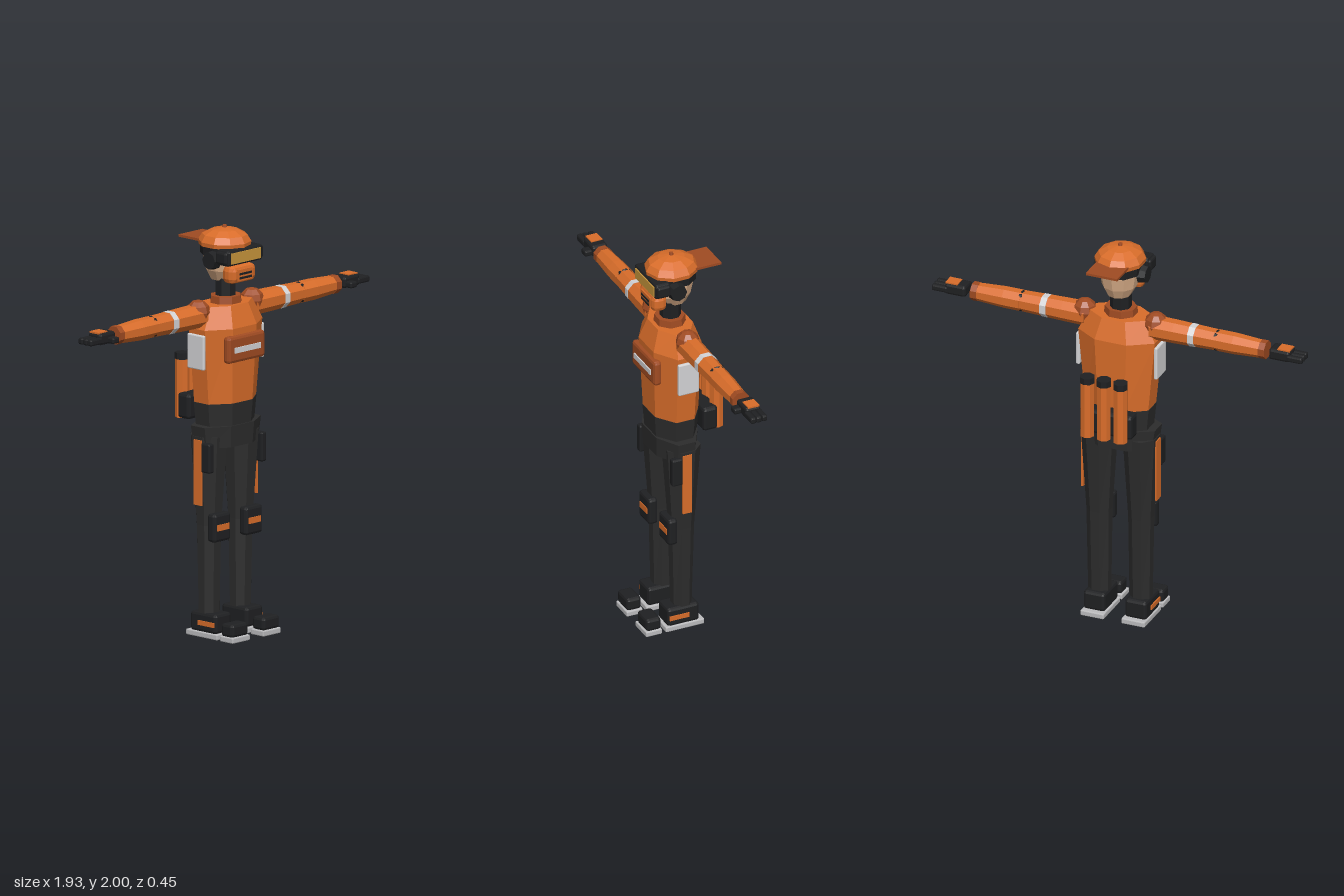
import * as THREE from 'three';
import { RoundedBoxGeometry } from 'three/addons/geometries/RoundedBoxGeometry.js';

const mat = (name, color) => {
  const m = new THREE.MeshStandardMaterial({ color, flatShading: true });
  m.name = name;
  return m;
};

export function createModel() {
  const orange = mat('orange', 0xd96d2a);
  const rust = mat('rust', 0xa04b22);
  const cloth = mat('charcoal cloth', 0x2c2c2c);
  const gear = mat('black gear', 0x1f2022);
  const white = mat('reflective white', 0xd4d4d6);
  const gold = mat('gold lens', 0xc8963c);
  const skin = mat('skin', 0xdcb08a);
  const sole = mat('grey sole', 0xbcbcbe);

  const root = new THREE.Group();
  const add = (name, geo, material, x = 0, y = 0, z = 0) => {
    const m = new THREE.Mesh(geo, material);
    m.name = name;
    m.position.set(x, y, z);
    root.add(m);
    return m;
  };
  // Plain and chamfered boxes given by their limits
  const box = (name, material, x0, x1, y0, y1, z0, z1, bevel = 0) => {
    const w = Math.abs(x1 - x0), h = y1 - y0, d = z1 - z0;
    const geo = bevel ? new RoundedBoxGeometry(w, h, d, 1, bevel) : new THREE.BoxGeometry(w, h, d);
    return add(name, geo, material, (x0 + x1) / 2, (y0 + y1) / 2, (z0 + z1) / 2);
  };
  // Stacked n-sided rings: [y, halfX, halfZ, centreX, centreZ]
  const loft = (rings, n = 8) => {
    const k = 1 / Math.cos(Math.PI / n);
    const pt = ([y, rx, rz, cx = 0, cz = 0], j) => {
      const a = ((j + 0.5) / n) * Math.PI * 2;
      return [cx + Math.cos(a) * rx * k, y, cz + Math.sin(a) * rz * k];
    };
    const mid = ([y, , , cx = 0, cz = 0]) => [cx, y, cz];
    const first = rings[0], last = rings[rings.length - 1];
    const pos = [];
    for (let j = 0; j < n; j++) {
      for (let i = 0; i + 1 < rings.length; i++) {
        const a = pt(rings[i], j), b = pt(rings[i], j + 1);
        const c = pt(rings[i + 1], j), d = pt(rings[i + 1], j + 1);
        pos.push(...a, ...c, ...b, ...b, ...c, ...d);
      }
      pos.push(...mid(first), ...pt(first, j), ...pt(first, j + 1));
      pos.push(...mid(last), ...pt(last, j + 1), ...pt(last, j));
    }
    const g = new THREE.BufferGeometry();
    g.setAttribute('position', new THREE.Float32BufferAttribute(pos, 3));
    g.computeVertexNormals();
    return g;
  };

  // Torso, waist and hips
  add('jacket', loft([[1.15, 0.165, 0.115, 0, 0.015], [1.52, 0.2, 0.127, 0, 0.018], [1.625, 0.145, 0.092, 0, 0.018]]), orange);
  add('waist', loft([[1.03, 0.155, 0.108, 0, 0.015], [1.15, 0.167, 0.117, 0, 0.015]]), cloth);
  add('hips', loft([[0.935, 0.18, 0.105, 0, 0.02], [1.04, 0.195, 0.11, 0, 0.02]]), cloth);
  add('collar', loft([[1.61, 0.078, 0.072, 0, 0.02], [1.66, 0.073, 0.068, 0, 0.02]]), rust);
  add('neck', loft([[1.64, 0.049, 0.048, 0, 0.017], [1.75, 0.049, 0.048, 0, 0.017]]), gear);
  box('chestPanel', rust, -0.127, 0.127, 1.355, 1.487, 0.12, 0.162, 0.015);
  box('chestStripe', white, -0.09, 0.09, 1.405, 1.432, 0.16, 0.168);

  // Head, cap and face gear
  add('head', loft([[1.735, 0.055, 0.055, 0, -0.002], [1.785, 0.082, 0.082, 0, 0.003], [1.85, 0.093, 0.095, 0, 0.003], [1.93, 0.098, 0.1, 0, 0.005]], 10), skin);
  add('headStrap', loft([[1.86, 0.103, 0.108, 0, 0.003], [1.912, 0.108, 0.112, 0, 0.005]], 10), gear);
  add('cap', loft([[1.905, 0.116, 0.124, 0, 0.012], [1.925, 0.118, 0.126, 0, 0.012], [1.957, 0.1, 0.108, 0, 0.012], [1.98, 0.06, 0.064, 0, 0.012], [1.989, 0.015, 0.015, 0, 0.012]], 10), orange);
  add('capButton', new THREE.CylinderGeometry(0.01, 0.013, 0.016, 8), rust, 0, 1.992, 0.012);
  box('capBrim', rust, -0.082, 0.082, 1.918, 1.93, -0.215, -0.08);
  box('goggleFrame', gear, -0.12, 0.12, 1.83, 1.908, 0.07, 0.15, 0.012);
  box('goggleLens', gold, -0.102, 0.102, 1.842, 1.895, 0.148, 0.156);
  box('mask', orange, -0.086, 0.086, 1.735, 1.822, 0.07, 0.145, 0.025);
  box('maskPlate', orange, -0.05, 0.05, 1.75, 1.805, 0.142, 0.149);
  for (const y of [1.764, 1.784]) box('maskSlit', gear, -0.042, 0.042, y - 0.005, y + 0.005, 0.146, 0.153);

  // Rear pouch and canisters
  box('backPouch', gear, -0.138, 0.138, 1.045, 1.17, -0.172, -0.095, 0.015);
  for (const x of [-0.087, 0, 0.087]) {
    add('canister', new THREE.CylinderGeometry(0.035, 0.035, 0.29, 8), orange, x, 1.185, -0.186);
    add('canisterCap', new THREE.CylinderGeometry(0.037, 0.037, 0.032, 8), gear, x, 1.342, -0.186);
  }

  for (const s of [1, -1]) {
    // Ear cup and side armour
    const ear = add('earCup', new THREE.CylinderGeometry(0.042, 0.048, 0.04, 8), gear, s * 0.115, 1.847, 0.034);
    ear.rotation.z = -s * Math.PI / 2;
    box('gogglesHinge', gear, s * 0.1, s * 0.132, 1.84, 1.9, 0.075, 0.145, 0.01);
    box('sidePlate', white, s * 0.193, s * 0.213, 1.325, 1.495, -0.035, 0.073, 0.006);

    // Arm sections running outwards: [x, halfHeight, halfDepth]
    const arm = (name, material, ...rings) => {
      const m = add(name, loft(rings), material, 0, 1.583, 0.012);
      m.rotation.z = -s * Math.PI / 2;
      return m;
    };
    add('shoulder', new THREE.SphereGeometry(0.06, 8, 6), rust, s * 0.186, 1.603, 0.014);
    arm('upperArm', orange, [0.17, 0.055, 0.055], [0.29, 0.054, 0.053], [0.51, 0.048, 0.047]);
    arm('armBand', white, [0.37, 0.053, 0.053], [0.402, 0.052, 0.052]);
    const elbow = add('elbow', new THREE.SphereGeometry(0.054, 6, 5), gear, s * 0.51, 1.583, 0.012);
    elbow.scale.x = 0.45;
    arm('forearm', orange, [0.51, 0.049, 0.048], [0.6, 0.049, 0.048], [0.74, 0.041, 0.041]);
    arm('cuff', rust, [0.736, 0.043, 0.043], [0.768, 0.043, 0.043]);

    // Glove
    box('palm', gear, s * 0.792, s * 0.9, 1.558, 1.615, -0.033, 0.048, 0.012);
    for (const z of [-0.022, 0.008, 0.037]) box('finger', gear, s * 0.885, s * 0.967, 1.565, 1.597, z - 0.014, z + 0.014, 0.008);
    box('thumb', gear, s * 0.802, s * 0.847, 1.562, 1.593, 0.035, 0.083, 0.008);
    box('glovePlate', orange, s * 0.835, s * 0.898, 1.612, 1.62, -0.025, 0.035);

    // Leg
    add('leg', loft([[0.1, 0.052, 0.047, s * 0.108, 0.013], [0.55, 0.058, 0.058, s * 0.109, 0.012], [0.99, 0.083, 0.088, s * 0.109, 0.012]]), cloth);
    box('thighStripe', orange, s * 0.187, s * 0.197, 0.655, 0.975, -0.005, 0.044);
    box('thighPocket', gear, s * 0.165, s * 0.2, 0.82, 0.965, 0.044, 0.1, 0.008);
    box('kneePad', gear, s * 0.052, s * 0.168, 0.475, 0.615, 0.055, 0.105, 0.014);
    box('kneeStripe', orange, s * 0.068, s * 0.15, 0.532, 0.562, 0.101, 0.109);

    // Boot
    box('boot', gear, s * 0.052, s * 0.165, 0.025, 0.122, -0.06, 0.108, 0.014);
    box('bootPlate', orange, s * 0.162, s * 0.171, 0.06, 0.083, -0.004, 0.1);
    box('heelSole', sole, s * 0.046, s * 0.168, 0, 0.028, -0.085, 0.12, 0.005);
    box('toeCap', gear, s * 0.052, s * 0.165, 0.025, 0.09, 0.143, 0.22, 0.014);
    box('toeSole', sole, s * 0.046, s * 0.168, 0, 0.028, 0.14, 0.225, 0.005);
  }
  return root;
}
